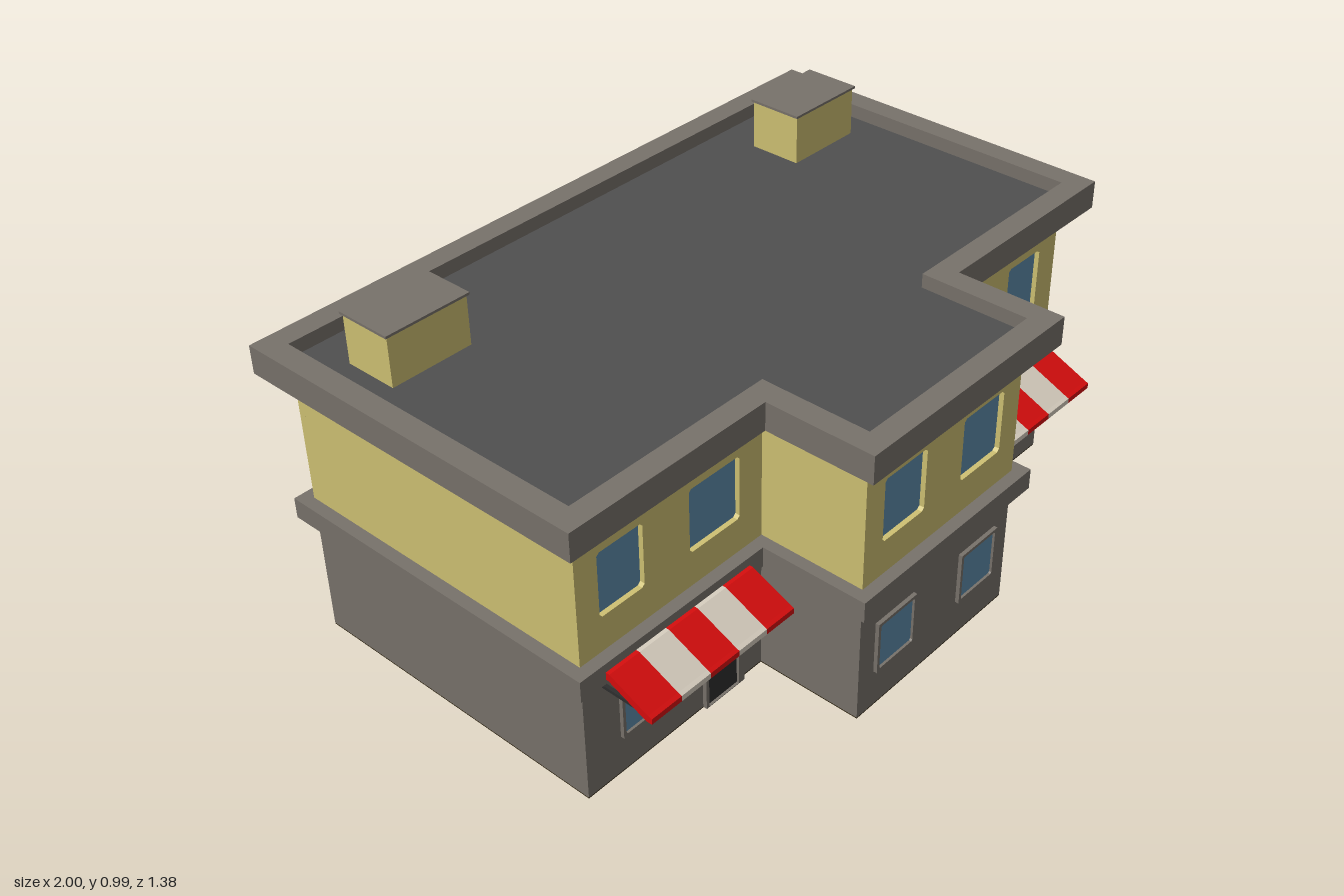
import * as THREE from 'three';

const mat = (name, color) => Object.assign(new THREE.MeshStandardMaterial({ color }), { name });

export function createModel() {
  const stone = mat('stone', 0x78726b);
  const plaster = mat('yellow plaster', 0xcfc173);
  const roofMat = mat('roof felt', 0x505050);
  const glass = mat('window glass', 0x5f8dac);
  const dark = mat('door black', 0x2e2e2e);
  const red = mat('awning red', 0xd80d0d);
  const cream = mat('awning cream', 0xd8cfc0);
  const under = mat('underside brown', 0x302612);

  const model = new THREE.Group();
  model.name = 'building';

  const add = (name, geo, material, x = 0, y = 0, z = 0, parent = model) => {
    const m = new THREE.Mesh(geo, material);
    m.name = name;
    m.position.set(x, y, z);
    parent.add(m);
    return m;
  };
  const box = (name, material, x0, x1, y0, y1, z0, z1, parent) =>
    add(name, new THREE.BoxGeometry(x1 - x0, y1 - y0, z1 - z0), material,
      (x0 + x1) / 2, (y0 + y1) / 2, (z0 + z1) / 2, parent);

  // T-shaped footprint as [x, z], grown outwards by o
  const outline = (o) => [
    [-0.933 - o, 0.32 + o], [-0.31 - o, 0.32 + o], [-0.31 - o, 0.633 + o], [0.305 + o, 0.633 + o],
    [0.305 + o, 0.32 + o], [0.933 + o, 0.32 + o], [0.933 + o, -0.62 - o], [-0.933 - o, -0.62 - o],
  ];
  const toPoints = (o) => outline(o).map(([x, z]) => new THREE.Vector2(x, -z));
  const slab = (name, material, o, y0, y1, hole) => {
    const shape = new THREE.Shape(toPoints(o));
    if (hole !== undefined) shape.holes.push(new THREE.Path(toPoints(hole)));
    const geo = new THREE.ExtrudeGeometry(shape, { depth: y1 - y0, bevelEnabled: false });
    geo.rotateX(-Math.PI / 2);
    return add(name, geo, material, 0, y0, 0);
  };

  // Stacked storeys
  slab('underside', under, 0, 0, 0.003);
  slab('groundFloor', stone, 0, 0.003, 0.36);
  slab('ledge', stone, 0.035, 0.36, 0.42);
  slab('upperCore', plaster, -0.02, 0.42, 0.8);
  slab('roof', roofMat, 0.003, 0.8, 0.84);
  slab('parapet', stone, 0.065, 0.8, 0.88, 0);

  // Rectangle with cut corners
  const cutRect = (Type, x0, x1, y0, y1, c) => new Type([
    [x0 + c, y0], [x1 - c, y0], [x1, y0 + c], [x1, y1 - c],
    [x1 - c, y1], [x0 + c, y1], [x0, y1 - c], [x0, y0 + c],
  ].map(([x, y]) => new THREE.Vector2(x, y)));

  // Upper walls: one panel per footprint edge, window spans in x (or z on the side)
  const windows = {
    0: [[-0.863, -0.718], [-0.565, -0.39]],
    2: [[-0.24, -0.078], [0.07, 0.235]],
    4: [[0.38, 0.56], [0.71, 0.855]],
    5: [[0.283, 0.046], [-0.032, -0.274], [-0.352, -0.583]],
    6: [[0.565, 0.387], [0.237, 0.073], [-0.385, -0.565]],
  };
  const corners = outline(0);
  const wallBottom = 0.42, wallHeight = 0.38, sill = 0.1, lintel = 0.285;
  corners.forEach((p, i) => {
    const q = corners[(i + 1) % corners.length];
    const dx = q[0] - p[0], dz = q[1] - p[1], len = Math.hypot(dx, dz);
    const start = Math.abs(dx) > Math.abs(dz) ? p[0] : p[1];
    const wall = new THREE.Group();
    wall.name = 'upperWall';
    wall.position.set(p[0], wallBottom, p[1]);
    wall.rotation.y = Math.atan2(-dz, dx);
    model.add(wall);
    const shape = new THREE.Shape();
    shape.moveTo(0, 0).lineTo(len, 0).lineTo(len, wallHeight).lineTo(0, wallHeight);
    for (const [a, b] of windows[i] || []) {
      const s0 = Math.abs(a - start), s1 = Math.abs(b - start);
      shape.holes.push(cutRect(THREE.Path, s0, s1, sill, lintel, 0.008));
      box('upperWindow', glass, s0 - 0.003, s1 + 0.003, sill - 0.003, lintel + 0.003, -0.021, -0.014, wall);
    }
    const geo = new THREE.ExtrudeGeometry(shape, { depth: 0.02, bevelEnabled: false });
    add('wallPanel', geo, plaster, 0, 0, -0.02, wall);
  });

  // Framed ground-floor windows
  const frame = (name, x0, x1, y0, y1, z, hole, depth) => {
    const shape = cutRect(THREE.Shape, x0, x1, y0, y1, 0);
    shape.holes.push(hole);
    add(name, new THREE.ExtrudeGeometry(shape, { depth, bevelEnabled: false }), stone, 0, 0, z);
  };
  for (const [x0, x1, z] of [[-0.818, -0.668, 0.32], [-0.25, -0.097, 0.633],
    [0.092, 0.246, 0.633], [0.663, 0.815, 0.32]]) {
    const b = 0.009;
    frame('windowFrame', x0, x1, 0.117, 0.274, z,
      cutRect(THREE.Path, x0 + b, x1 - b, 0.117 + b, 0.274 - b, 0.004), 0.011);
    box('lowerWindow', glass, x0 + 0.005, x1 - 0.005, 0.122, 0.269, z - 0.003, z + 0.004);
  }

  // Doors with rounded-top frames
  for (const [x0, x1, d0, d1] of [[-0.53, -0.388, -0.52, -0.409], [0.37, 0.525, 0.394, 0.515]]) {
    const hole = new THREE.Path();
    hole.moveTo(d0, 0.004).lineTo(d1, 0.004).lineTo(d1, 0.245);
    hole.quadraticCurveTo(d1, 0.268, d1 - 0.023, 0.268).lineTo(d0 + 0.023, 0.268);
    hole.quadraticCurveTo(d0, 0.268, d0, 0.245);
    frame('doorFrame', x0, x1, 0.002, 0.278, 0.32, hole, 0.012);
    box('door', dark, d0 - 0.003, d1 + 0.003, 0.003, 0.271, 0.317, 0.325);
  }

  // Striped awnings on dark brackets
  const profile = new THREE.Shape([
    [0.335, 0.363], [0.37, 0.363], [0.485, 0.313], [0.503, 0.313],
    [0.503, 0.329], [0.492, 0.333], [0.374, 0.385], [0.335, 0.385],
  ].map(([z, y]) => new THREE.Vector2(z, y)));
  for (const [x0, x1, dy, dz] of [[-0.888, -0.394, 0.01, -0.008], [0.39, 0.884, 0, 0]]) {
    const awning = new THREE.Group();
    awning.name = 'awning';
    awning.position.set(0, dy, dz);
    model.add(awning);
    const w = (x1 - x0) / 5;
    for (let i = 0; i < 5; i++) {
      const geo = new THREE.ExtrudeGeometry(profile, { depth: w, bevelEnabled: false });
      geo.rotateY(-Math.PI / 2);
      add('awningStripe', geo, i % 2 ? cream : red, x0 + (i + 1) * w, 0, 0, awning);
    }
    for (const x of [x0 + 0.012, x1 - 0.012]) {
      box('awningBracket', dark, x - 0.005, x + 0.005, 0.319, 0.328, 0.32, 0.485, awning);
    }
  }

  // Rooftop chimneys with thin caps
  for (const x of [-0.734, 0.728]) {
    box('chimney', plaster, x - 0.122, x + 0.122, 0.835, 0.98, -0.496, -0.34);
    box('chimneyCap', stone, x - 0.128, x + 0.128, 0.98, 0.987, -0.501, -0.335);
  }
  return model;
}
